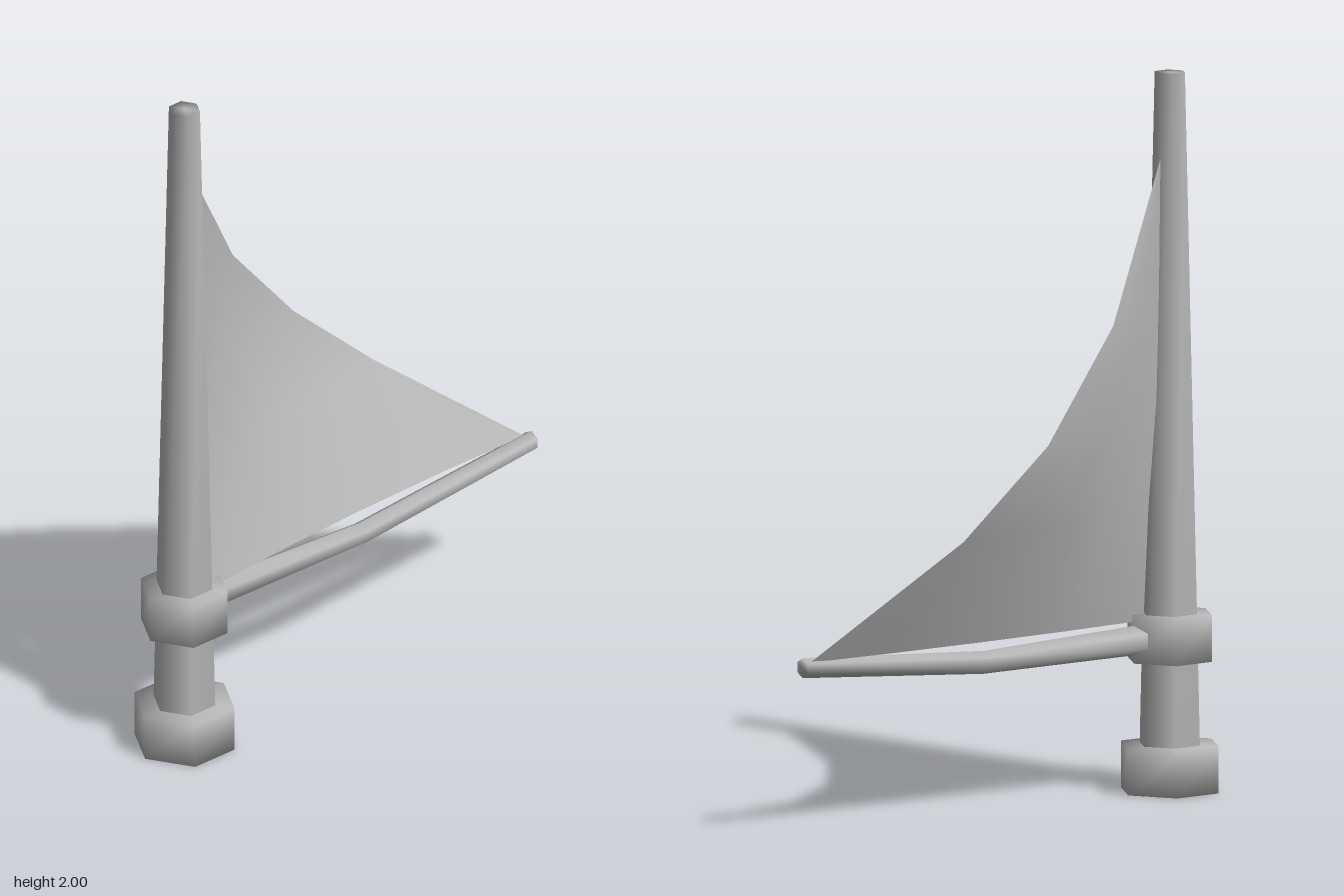
import * as THREE from 'three';
import { mergeVertices } from 'three/addons/utils/BufferGeometryUtils.js';

const MAST_X = -0.575, MAST_Z = 0.046;

// Weld all corners so shading runs smoothly over the edges
function weld(geometry) {
  geometry.deleteAttribute('normal');
  geometry.deleteAttribute('uv');
  const g = mergeVertices(geometry, 1e-4);
  g.computeVertexNormals();
  return g;
}

// Grid surface through rows of points
function gridGeometry(rows) {
  const n = rows[0].length, index = [];
  for (let i = 0; i < rows.length - 1; i++) {
    for (let j = 0; j < n - 1; j++) {
      const a = i * n + j, b = a + n;
      index.push(a, b, a + 1, b, b + 1, a + 1);
    }
  }
  const g = new THREE.BufferGeometry().setFromPoints(rows.flat());
  g.setIndex(index);
  g.computeVertexNormals();
  return g;
}

export function createModel() {
  const model = new THREE.Group();
  const grey = new THREE.MeshStandardMaterial({ color: 0xb8b8b8, side: THREE.DoubleSide });
  grey.name = 'grey';

  const add = (name, geometry) => {
    const mesh = new THREE.Mesh(geometry, grey);
    mesh.name = name;
    model.add(mesh);
    return mesh;
  };

  // Six-sided upright parts, with corners along x
  const upright = (name, rTop, rBottom, y0, y1) => {
    const g = new THREE.CylinderGeometry(rTop, rBottom, y1 - y0, 6, 1, false, Math.PI / 2);
    add(name, weld(g)).position.set(MAST_X, (y0 + y1) / 2, MAST_Z);
  };
  upright('mastFoot', 0.145, 0.145, 0, 0.13);
  upright('mast', 0.045, 0.09, 0.1, 2);
  upright('collar', 0.125, 0.125, 0.365, 0.495);

  // Boom: three six-sided rings [x, y, z, radius], slightly bent upward
  const stations = [[-0.5, 0.43, 0.046, 0.042], [0.07, 0.419, 0.054, 0.032], [0.707, 0.467, 0.045, 0.028]];
  const boom = new THREE.CylinderGeometry(1, 1, 2, 6, 2);
  const p = boom.attributes.position;
  for (let i = 0; i < p.count; i++) {
    const [x, y, z, r] = stations[Math.round(p.getY(i)) + 1];
    p.setXYZ(i, x, y + r * p.getZ(i), z + r * p.getX(i));
  }
  // The mapping is a rotation, so the faces keep pointing outward
  add('boom', weld(boom));

  // Sail: rows run from the mast edge to the free edge, bellied toward the back
  const luff = [[-0.53, 1.765, 0.03], [-0.52, 1.4, 0.024], [-0.51, 1.1, 0.022], [-0.5, 0.8, 0.045], [-0.51, 0.475, 0.08]];
  const leech = [[-0.53, 1.765, 0.03], [-0.25, 1.345, -0.117], [0.02, 1.045, -0.172], [0.29, 0.8, -0.14], [0.69, 0.482, 0.033]];
  const belly = [0, 0.012, 0.025, 0.03, 0.018];
  const rows = luff.map((l, i) => {
    const a = new THREE.Vector3(...l), b = new THREE.Vector3(...leech[i]);
    return [0, 0.25, 0.5, 0.75, 1].map((u) => {
      const v = a.clone().lerp(b, u);
      v.z -= belly[i] * 4 * u * (1 - u);
      return v;
    });
  });
  add('sail', gridGeometry(rows));

  return model;
}
